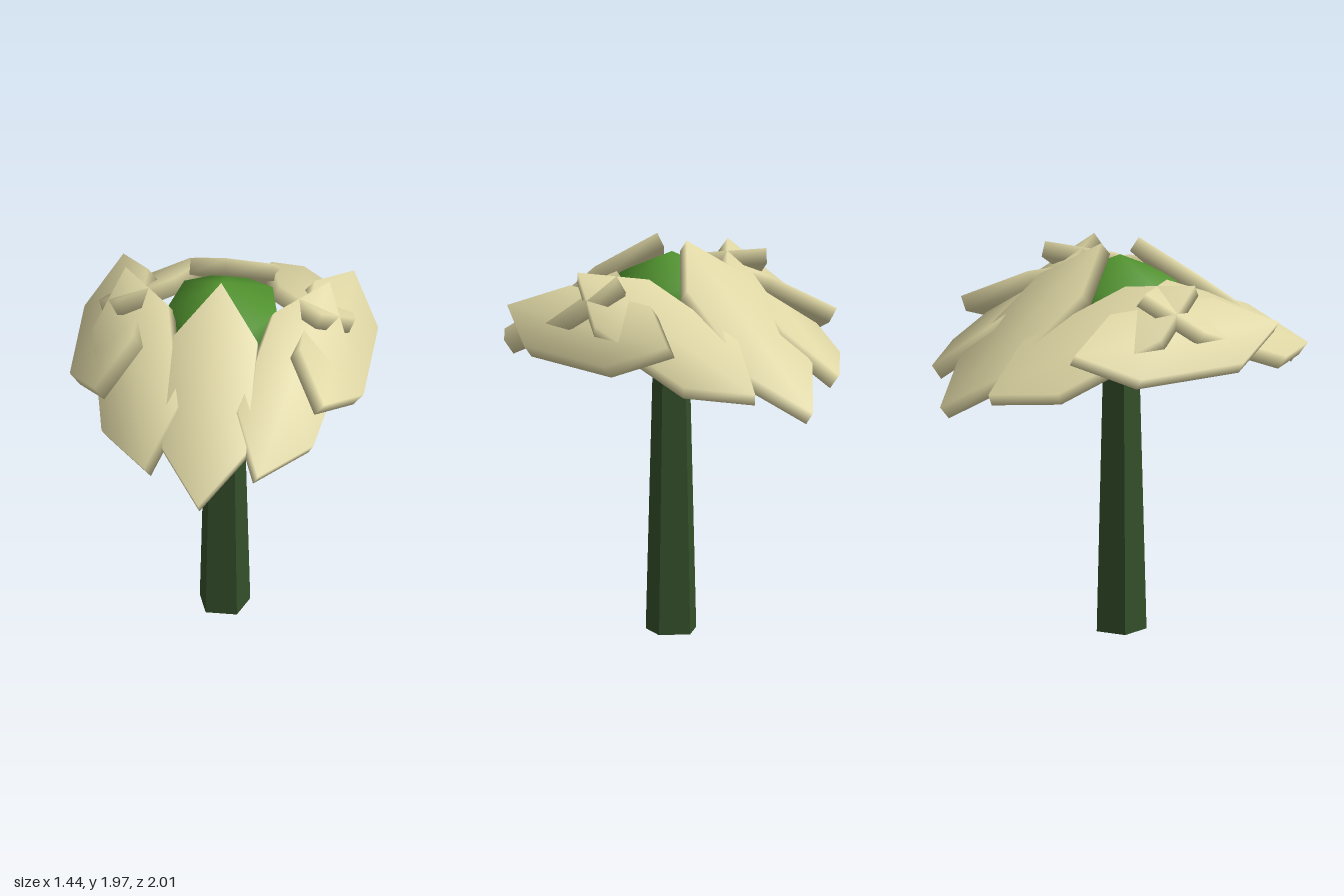
import * as THREE from 'three';
import { mergeVertices } from 'three/addons/utils/BufferGeometryUtils.js';

const THICKNESS = 0.08;

// Hexagonal slab: tip reaches centre + along, long sides lie at centre ± across
function petalGeometry(center, along, across) {
  const u = new THREE.Vector3(...along);
  const v = new THREE.Vector3(...across);
  const n = u.clone().cross(v).normalize();
  if (n.y < 0) {
    n.negate();
    v.negate();
  }
  const basis = new THREE.Matrix4().makeBasis(
    v.multiplyScalar(2 / Math.sqrt(3)), n.multiplyScalar(THICKNESS), u);
  basis.setPosition(...center);

  // weld the rim so the slab shades softly
  let geo = new THREE.CylinderGeometry(1, 1, 1, 6);
  geo.applyMatrix4(basis);
  geo.deleteAttribute('normal');
  geo.deleteAttribute('uv');
  geo = mergeVertices(geo);
  geo.computeVertexNormals();
  return geo;
}

export function createModel() {
  const group = new THREE.Group();
  const stemMat = new THREE.MeshStandardMaterial({ color: 0x344f2a, flatShading: true });
  const bulbMat = new THREE.MeshStandardMaterial({ color: 0x52942f });
  const petalMat = new THREE.MeshStandardMaterial({ color: 0xded6a4 });

  const add = (name, geo, mat) => {
    const mesh = new THREE.Mesh(geo, mat);
    mesh.name = name;
    group.add(mesh);
    return mesh;
  };
  const addPetal = (name, c, u, v) => add(name, petalGeometry(c, u, v), petalMat);

  // Tapered five-sided stem
  add('stem', new THREE.CylinderGeometry(0.092, 0.13, 1.46, 5, 1, false, Math.PI), stemMat)
    .position.y = 0.73;

  // Coarse round flower centre
  const bulb = add('flowerCentre', new THREE.SphereGeometry(1, 7, 3, -Math.PI / 2), bulbMat);
  bulb.scale.set(0.32, 0.26, 0.32);
  bulb.position.y = 1.64;

  // Front and back petals, side petals and the four diagonal ones
  for (const s of [1, -1]) {
    addPetal(s > 0 ? 'frontPetal' : 'backPetal',
      [0, 1.59, 0.53 * s], [0, -0.35, 0.45 * s], [0.205, 0, 0]);
    addPetal(s > 0 ? 'leftPetal' : 'rightPetal',
      [0.54 * s, 1.59, 0], [0, 0, 0.57], [0.155 * s, -0.125, 0]);
    for (const t of [1, -1]) {
      addPetal((t > 0 ? 'front' : 'back') + (s > 0 ? 'Left' : 'Right') + 'Petal',
        [0.375 * s, 1.59, 0.36 * t],
        [-0.11 * s, -0.23, 0.515 * t],
        [-0.185 * s, 0.085, -0.005 * t]);
    }
  }
  return group;
}
